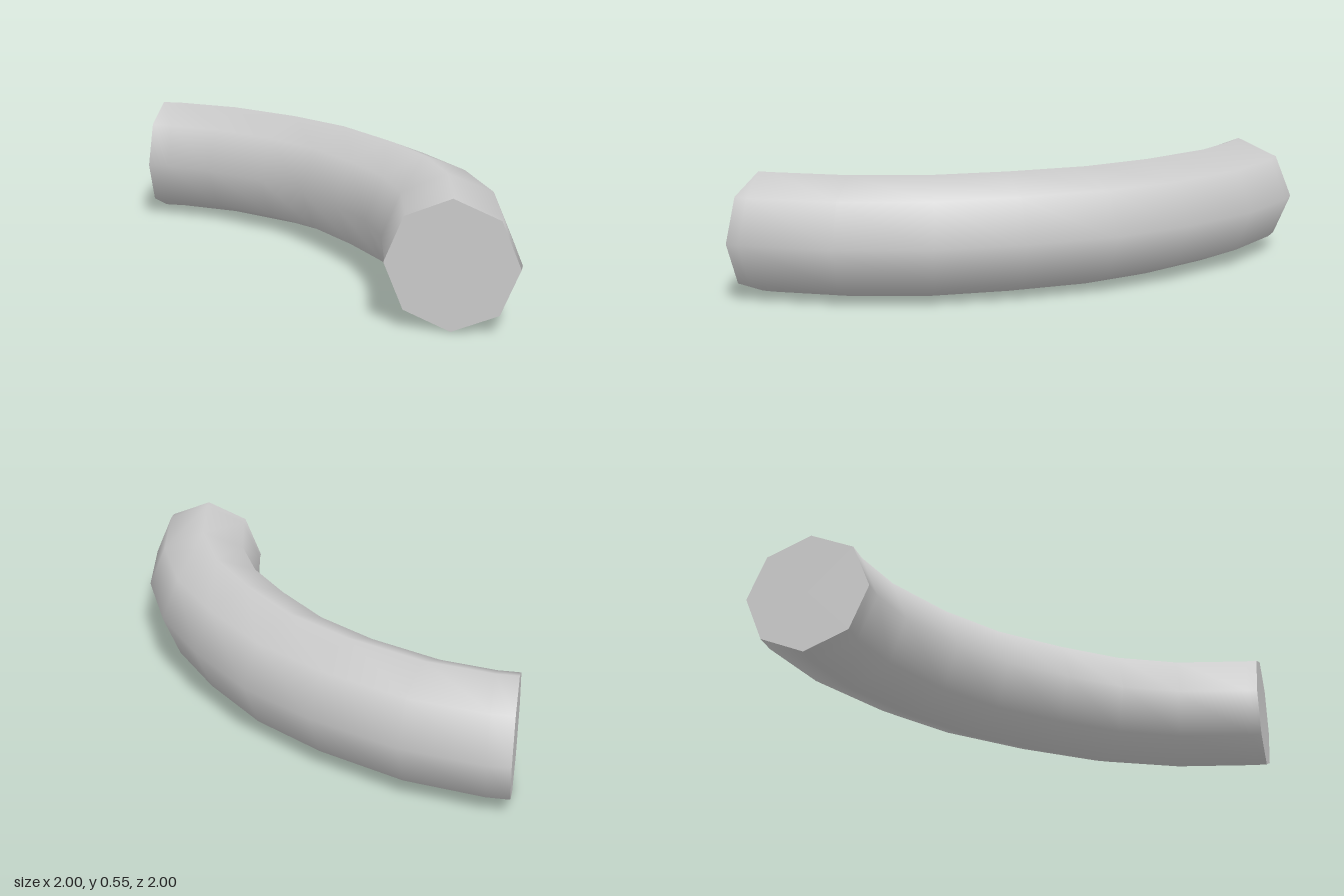
import * as THREE from 'three';

const SIDES = 8;
const RADIUS = 0.275;

// Each cross-section of the bend: outer x, z and inner x, z
const SECTIONS = [
  [-1, -1, -1, -0.45],
  [-0.9, -1, -0.9, -0.447],
  [-0.53, -0.925, -0.67, -0.395],
  [-0.13, -0.74, -0.37, -0.25],
  [0.2, -0.52, -0.125, -0.075],
  [0.5, -0.21, 0.09, 0.16],
  [0.745, 0.12, 0.265, 0.385],
  [0.92, 0.52, 0.38, 0.635],
  [1, 0.94, 0.445, 0.95],
  [1, 1, 0.45, 1],
];

// Lofts octagonal rings into a smooth open pipe
function pipeGeometry() {
  const positions = [];
  const indices = [];
  SECTIONS.forEach(([ox, oz, ix, iz], i) => {
    for (let j = 0; j < SIDES; j++) {
      const angle = (j / SIDES) * Math.PI * 2;
      const t = (1 + Math.cos(angle)) / 2;
      positions.push(
        ix + (ox - ix) * t,
        RADIUS * (1 + Math.sin(angle)),
        iz + (oz - iz) * t
      );
      if (i === SECTIONS.length - 1) continue;
      const a = i * SIDES + j;
      const d = i * SIDES + ((j + 1) % SIDES);
      indices.push(a, d, d + SIDES, a, d + SIDES, a + SIDES);
    }
  });
  const geometry = new THREE.BufferGeometry();
  geometry.setAttribute('position', new THREE.Float32BufferAttribute(positions, 3));
  geometry.setIndex(indices);
  geometry.computeVertexNormals();
  return geometry;
}

export function createModel() {
  const group = new THREE.Group();
  group.name = 'pipeBend';
  const material = new THREE.MeshStandardMaterial({ color: 0xcccccc });

  // Curved pipe
  const pipe = new THREE.Mesh(pipeGeometry(), material);
  pipe.name = 'curvedPipe';
  group.add(pipe);

  // Flat end caps
  const capGeometry = new THREE.CircleGeometry(RADIUS, SIDES);
  const addCap = (name, x, z, turn) => {
    const cap = new THREE.Mesh(capGeometry, material);
    cap.name = name;
    cap.position.set(x, RADIUS, z);
    cap.rotation.y = turn;
    group.add(cap);
  };
  addCap('frontCap', 0.725, 1, 0);
  addCap('rightCap', -1, -0.725, -Math.PI / 2);

  return group;
}
